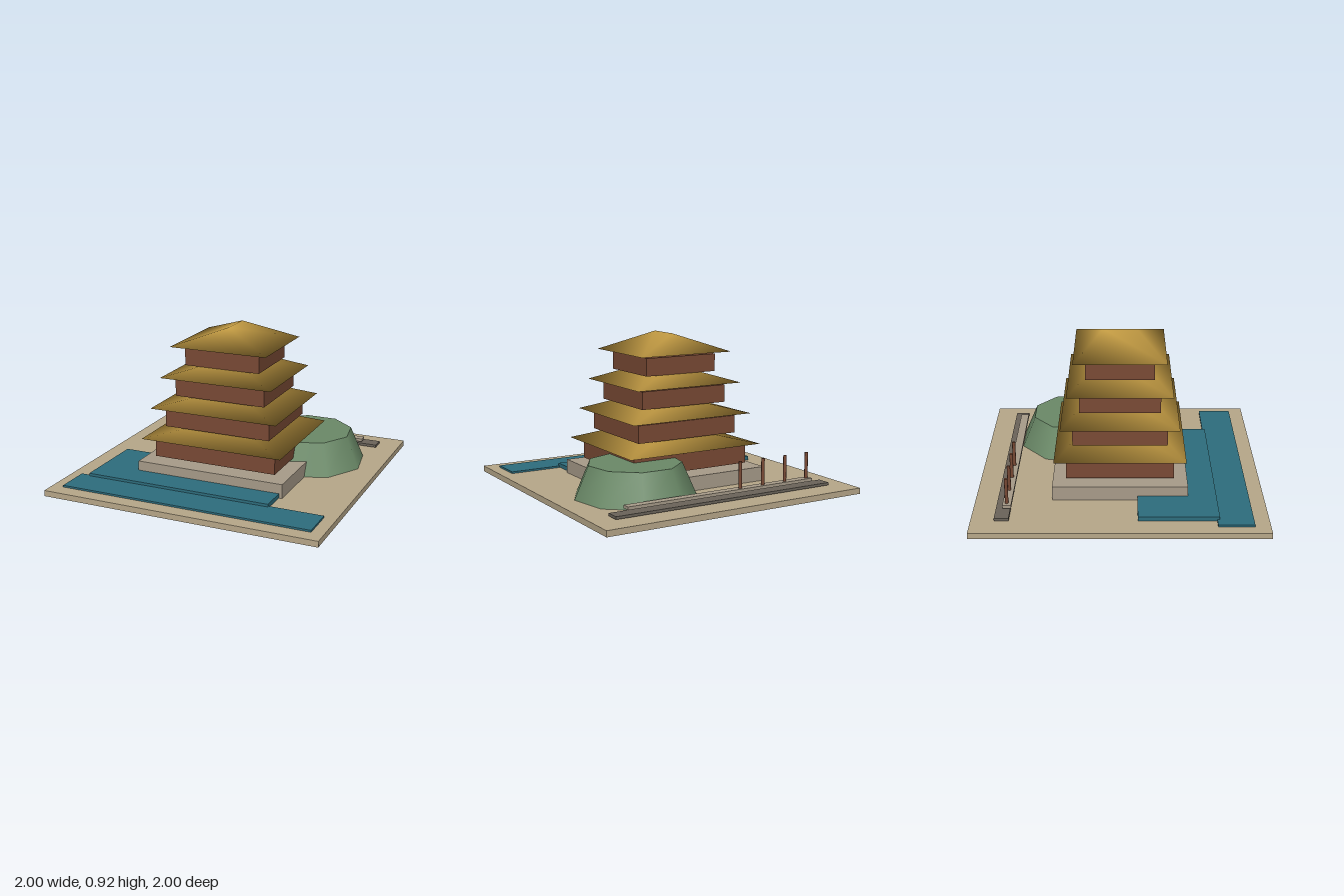
import * as THREE from 'three';

const mat = (color) => new THREE.MeshStandardMaterial({ color });
const M = {
  ground: mat(0xb8a88a), stone: mat(0xa89c8a), water: mat(0x2e6e7e), roof: mat(0xc9a045),
  wall: mat(0x7a4a35), hill: mat(0x6b8a68), path: mat(0x6b645a),
};

// Box given by its ranges on each axis
function block(name, material, [x0, x1], [y0, y1], [z0, z1]) {
  const mesh = new THREE.Mesh(new THREE.BoxGeometry(x1 - x0, y1 - y0, z1 - z0), material);
  mesh.position.set((x0 + x1) / 2, (y0 + y1) / 2, (z0 + z1) / 2);
  mesh.name = name;
  return mesh;
}

// Hipped roof: four eave corners, a short ridge along z, closed underneath.
// Shared vertices give the soft shading over the hips.
function hipRoof(a, b, height) {
  const r = b * 0.37;
  const g = new THREE.BufferGeometry();
  g.setAttribute('position', new THREE.Float32BufferAttribute([
    -a, 0, -b, a, 0, -b, a, 0, b, -a, 0, b, 0, height, -r, 0, height, r,
  ], 3));
  g.setIndex([
    0, 1, 2, 0, 2, 3, // underside
    0, 4, 1, 2, 5, 3, // end slopes
    1, 4, 5, 1, 5, 2, 3, 5, 4, 3, 4, 0, // long slopes
  ]);
  g.computeVertexNormals();
  return g;
}

export function createModel() {
  const model = new THREE.Group();
  model.name = 'pagodaGarden';
  const site = new THREE.Group();
  site.name = 'site';
  site.rotation.y = -0.2196;
  model.add(site);

  // Ground, water and stone base
  site.add(
    block('ground', M.ground, [-0.8376, 0.8376], [0, 0.035], [-0.8376, 0.8376]),
    block('frontPool', M.water, [-0.766, 0.766], [0.035, 0.046], [0.544, 0.749]),
    block('sidePool', M.water, [-0.706, 0.443], [0.037, 0.062], [0.1, 0.558]),
    block('platform', M.stone, [-0.462, 0.462], [0.035, 0.12], [-0.393, 0.393]),
  );

  // Storeys: wall half width, half depth, then eave half width, half depth
  const storeys = [
    [0.384, 0.314, 0.442, 0.383],
    [0.331, 0.277, 0.398, 0.345],
    [0.283, 0.237, 0.35, 0.308],
    [0.235, 0.201, 0.303, 0.27],
  ];
  storeys.forEach(([w, d, a, b], i) => {
    const y = 0.138 + i * 0.185;
    const storey = new THREE.Group();
    storey.name = `storey${i + 1}`;
    storey.add(block('wall', M.wall, [-w, w], [y, y + 0.104], [-d, d]));
    const roof = new THREE.Mesh(hipRoof(a, b, 0.109), M.roof);
    roof.position.y = 0.26 + i * 0.184;
    roof.name = 'roof';
    storey.add(roof);
    site.add(storey);
  });

  // Hill beside the tower
  const hill = new THREE.Mesh(new THREE.CylinderGeometry(0.272, 0.355, 0.19, 9), M.hill);
  hill.position.set(0.366, 0.13, -0.287);
  hill.name = 'hill';
  site.add(hill);

  // Walkway at the back with a raised plank and posts
  site.add(
    block('walkway', M.path, [-0.71, 0.71], [0.04, 0.056], [-0.704, -0.622]),
    block('plank', M.stone, [-0.618, 0.618], [0.068, 0.086], [-0.665, -0.616]),
  );
  const postGeometry = new THREE.CylinderGeometry(0.01, 0.01, 0.158, 8);
  for (let i = 0; i < 4; i++) {
    const post = new THREE.Mesh(postGeometry, M.wall);
    post.position.set(-0.589 + i * 0.157, 0.161, -0.642);
    post.name = `post${i + 1}`;
    site.add(post);
  }

  return model;
}
